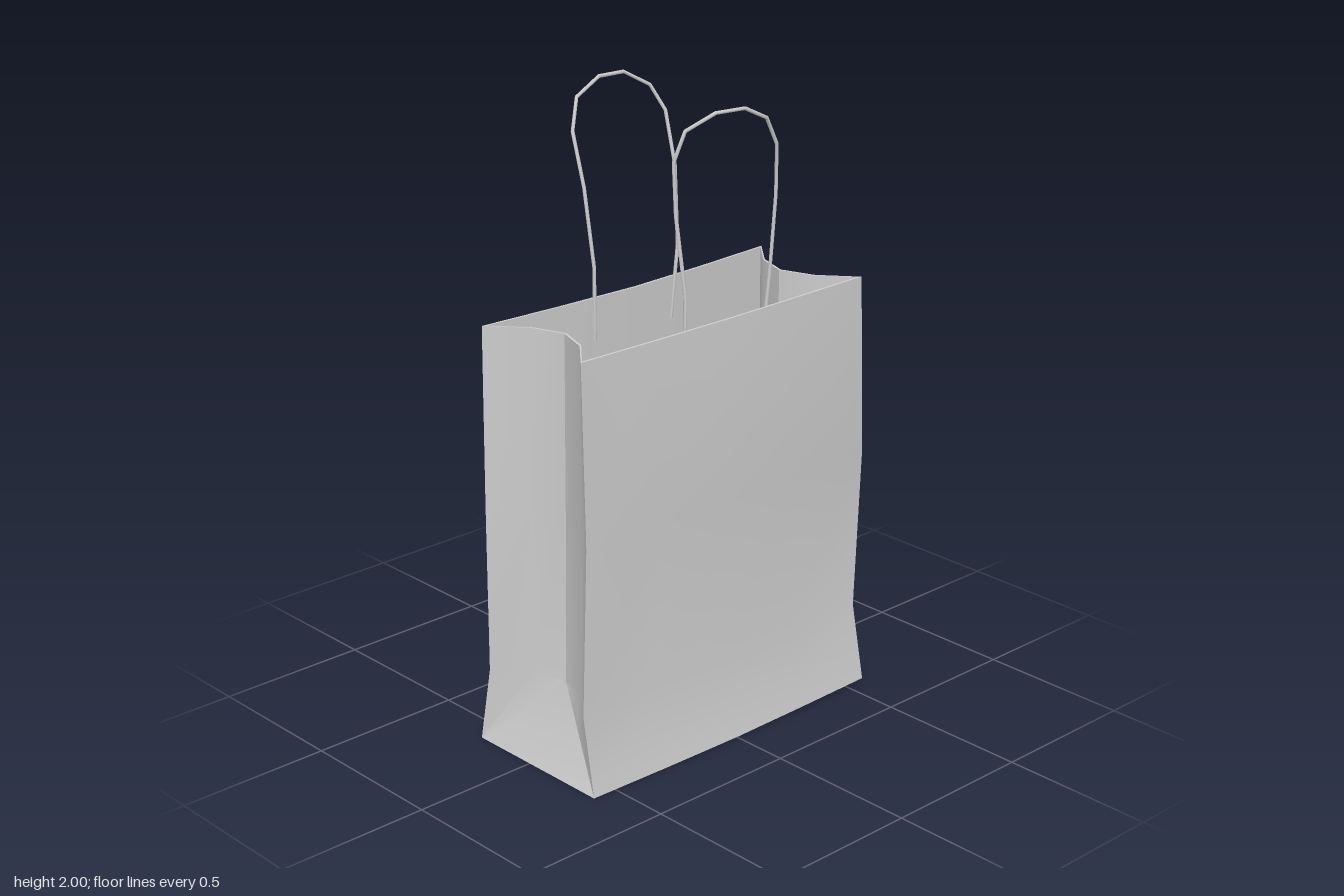
import * as THREE from 'three';
import { toCreasedNormals } from 'three/addons/utils/BufferGeometryUtils.js';

const PAPER = 0.008;

// Height levels: side wall corners (xl, xr), their bow at mid depth, corner depth zc, gusset crease depth zg
const LEVELS = [
  { y: 0, xl: -0.23, xr: 0.297, bowL: 0.02, bowR: 0.013, zc: 0.583, zg: 0.46, fold: true },
  { y: 0.25, xl: -0.185, xr: 0.25, bowL: 0.02, bowR: 0.01, zc: 0.58, zg: 0.46 },
  { y: 0.8, xl: -0.185, xr: 0.272, bowL: 0.03, bowR: 0.022, zc: 0.58, zg: 0.45 },
  { y: 1.365, xl: -0.185, xr: 0.253, bowL: 0.03, bowR: 0.01, zc: 0.576, zg: 0.445 },
];
const CREASE_X = 0.032;
const APEX_Y = 0.25;

// Closed loop of 16 points: +x wall (5), back gusset (3), -x wall (5), front gusset (3)
function section(level, inset) {
  const xl = level.xl + inset, xr = level.xr - inset;
  const zc = level.zc - inset * 1.5, zg = level.zg - inset;
  const y = level.fold ? level.y + inset : level.y;
  const steps = [1, 0.5, 0, -0.5, -1];
  const wall = (x, bow, s) => new THREE.Vector3(x + bow * (1 - Math.abs(s) ** 1.4), y, s * zc);
  const gusset = (side, from, to) => {
    const apex = new THREE.Vector3(CREASE_X, level.fold ? APEX_Y : y, side * zg);
    const mid = (x) => {
      const p = new THREE.Vector3(x, y, side * zc).lerp(apex, 0.5);
      if (!level.fold) p.z -= side * 0.027; // the pleat curves inward
      return p;
    };
    return [mid(from), apex, mid(to)];
  };
  return [
    ...steps.map((s) => wall(xr, level.bowR, s)),
    ...gusset(-1, xr, xl),
    ...steps.map((s) => wall(xl, level.bowL, -s)),
    ...gusset(1, xl, xr),
  ];
}

function createBag() {
  const pos = [];
  const tri = (a, b, c) => [a, b, c].forEach((p) => pos.push(p.x, p.y, p.z));
  const quad = (a, b, c, d, flip) => {
    if (flip) [b, d] = [d, b];
    tri(a, b, c);
    tri(a, c, d);
  };
  const outer = LEVELS.map((l) => section(l, 0));
  const inner = LEVELS.map((l) => section(l, PAPER));

  for (const [rows, inside] of [[outer, false], [inner, true]]) {
    // Walls and pleated gussets
    for (let r = 0; r < rows.length - 1; r++) {
      for (let i = 0; i < 16; i++) {
        const j = (i + 1) % 16;
        quad(rows[r][i], rows[r][j], rows[r + 1][j], rows[r + 1][i], inside);
      }
    }
    // Floor
    const b = rows[0];
    for (let j = 0; j < 4; j++) quad(b[j], b[j + 1], b[11 - j], b[12 - j], !inside);
    // Folded triangles at the foot of each gusset
    for (const [p, q, apex] of [[b[12], b[0], b[14]], [b[4], b[8], b[6]]]) {
      if (inside) tri(q, p, apex);
      else tri(p, q, apex);
    }
  }
  // Rim joining the outer and inner skins
  const o = outer.at(-1), n = inner.at(-1);
  for (let i = 0; i < 16; i++) {
    const j = (i + 1) % 16;
    quad(o[i], o[j], n[j], n[i]);
  }
  const geo = new THREE.BufferGeometry();
  geo.setAttribute('position', new THREE.Float32BufferAttribute(pos, 3));
  return toCreasedNormals(geo, 0.5);
}

// Polyline whose tube rings fall exactly on its points
class Polyline extends THREE.Curve {
  constructor(points) {
    super();
    this.points = points.map((p) => new THREE.Vector3(...p));
  }
  getPoint(t, target = new THREE.Vector3()) {
    const last = this.points.length - 1;
    const i = Math.min(Math.floor(t * last), last - 1);
    return target.lerpVectors(this.points[i], this.points[i + 1], t * last - i);
  }
  getUtoTmapping(u) {
    return u;
  }
}

const LEFT_HANDLE = [
  [0.243, 1.23, 0.165], [0.245, 1.47, 0.165], [0.207, 1.7, 0.167], [0.198, 1.86, 0.167],
  [0.22, 1.95, 0.143], [0.248, 1.992, 0.05], [0.265, 1.992, -0.05], [0.269, 1.95, -0.135],
  [0.26, 1.86, -0.188], [0.242, 1.7, -0.205], [0.245, 1.46, -0.18], [0.243, 1.23, -0.152],
];
const RIGHT_HANDLE = [
  [-0.155, 1.23, 0.163], [-0.155, 1.46, 0.163], [-0.197, 1.7, 0.163], [-0.255, 1.86, 0.155],
  [-0.29, 1.95, 0.107], [-0.31, 1.992, 0], [-0.31, 1.99, -0.1], [-0.285, 1.94, -0.185],
  [-0.255, 1.86, -0.222], [-0.197, 1.7, -0.208], [-0.155, 1.46, -0.18], [-0.155, 1.23, -0.152],
];

export function createModel() {
  const group = new THREE.Group();
  group.name = 'shoppingBag';
  const material = new THREE.MeshStandardMaterial({ color: 0xcccccc, side: THREE.DoubleSide });
  const add = (name, geometry) => {
    const mesh = new THREE.Mesh(geometry, material);
    mesh.name = name;
    group.add(mesh);
  };

  add('paperBag', createBag());
  // Cord handles fixed to the inside of each wall
  for (const [name, points] of [['leftHandle', LEFT_HANDLE], ['rightHandle', RIGHT_HANDLE]]) {
    add(name, new THREE.TubeGeometry(new Polyline(points), points.length - 1, 0.006, 6));
  }
  return group;
}
